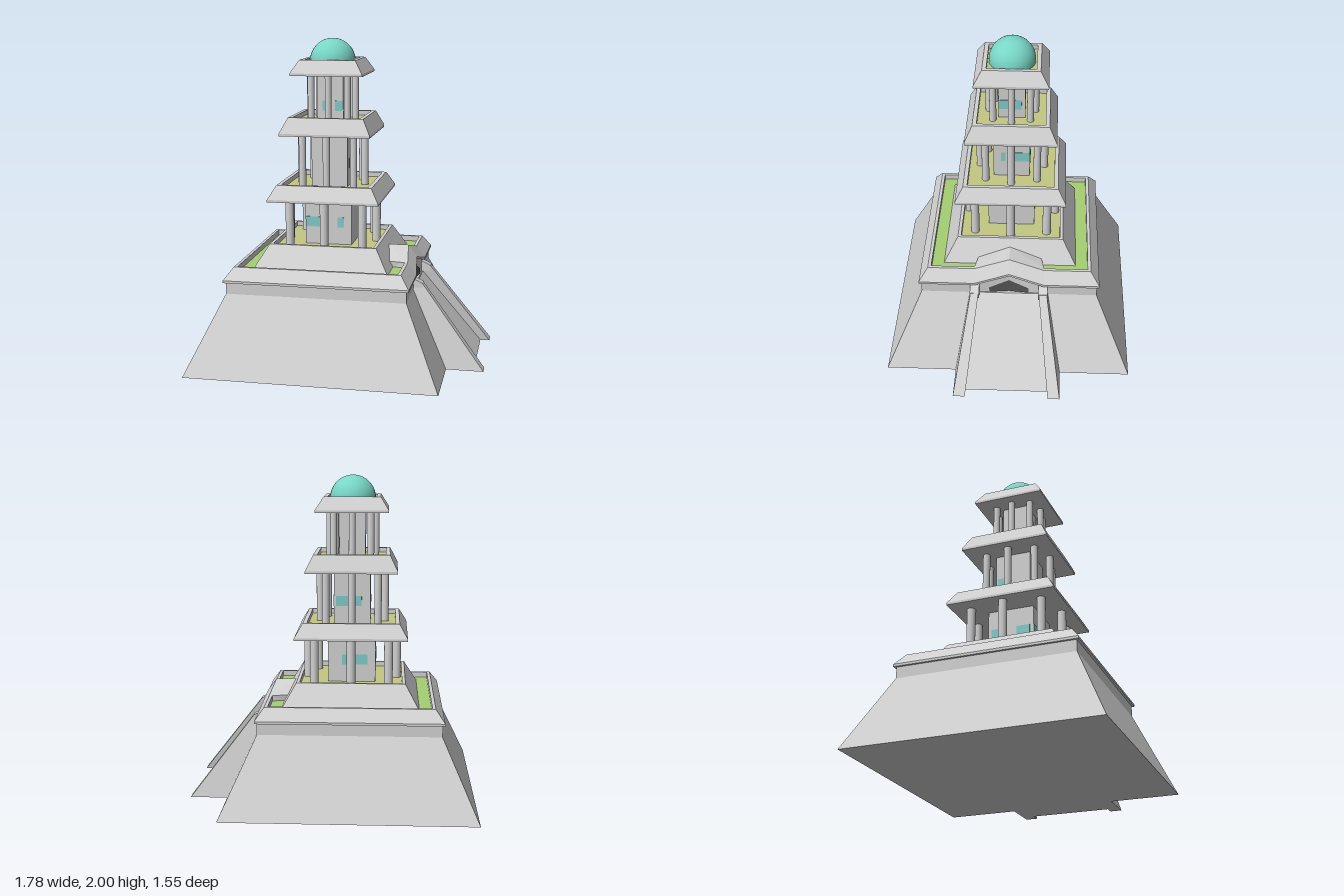
import * as THREE from 'three';
import { ConvexGeometry } from 'three/addons/geometries/ConvexGeometry.js';

const mat = (name, color, side = THREE.FrontSide) => {
  const m = new THREE.MeshStandardMaterial({ color, side });
  m.name = name;
  return m;
};

// Flat-faced geometry from a list of quads (each four corners, counterclockwise)
function quads(list) {
  const pos = [];
  for (const [a, b, c, d] of list) pos.push(...a, ...b, ...c, ...a, ...c, ...d);
  const g = new THREE.BufferGeometry();
  g.setAttribute('position', new THREE.Float32BufferAttribute(pos, 3));
  g.computeVertexNormals();
  return g;
}

// Skin between successive closed rings of points
function loft(rings) {
  const list = [];
  for (let i = 0; i < rings.length - 1; i++) {
    const lo = rings[i], hi = rings[i + 1], n = lo.length;
    for (let j = 0; j < n; j++) {
      const k = (j + 1) % n;
      list.push([lo[j], lo[k], hi[k], hi[j]]);
    }
  }
  return quads(list);
}

const square = ([h, y]) => [[h, y, h], [h, y, -h], [-h, y, -h], [-h, y, h]];

// Square ring whose +x side rises to a gable over the doorway
const GATE = 0.22, PINCH = 0.025, LIFT = 0.06;
const gateSquare = ([h, y, lift = LIFT]) => [
  [h, y, h], [h, y, GATE], [h - PINCH, y + lift, 0], [h, y, -GATE],
  [h, y, -h], [-h, y, -h], [-h, y, h],
];

export function createModel() {
  const stone = mat('stone', 0xd2d2d2);
  const stoneSheet = mat('stone sheet', 0xd2d2d2, THREE.DoubleSide);
  const grass = mat('garden green', 0xa6cf74);
  const terrace = mat('terrace olive', 0xc3c984);
  const glass = mat('window teal', 0x82cbc9);
  const domeTeal = mat('dome teal', 0x78d6c6);
  const dark = mat('doorway dark', 0x565656, THREE.DoubleSide);

  const model = new THREE.Group();
  const tower = new THREE.Group();
  tower.name = 'tower';
  tower.position.x = -0.12;
  model.add(tower);

  const add = (name, geo, material, parent = tower) => {
    const m = new THREE.Mesh(geo, material);
    m.name = name;
    parent.add(m);
    return m;
  };
  const floor = (name, half, y, material) =>
    add(name, new THREE.PlaneGeometry(half * 2, half * 2).rotateX(-Math.PI / 2).translate(0, y, 0), material);

  // Sloping base
  add('base', loft([[0, 0], [0.775, 0], [0.555, 0.475], [0, 0.475]].map(square)), stone);

  // Wall band, ledge and parapet, gabled on the entrance side
  add('parapet', loft([
    [0.555, 0.475, 0], [0.555, 0.545], [0.57, 0.545], [0.57, 0.56],
    [0.515, 0.635], [0.495, 0.635], [0.495, 0.60, 0],
  ].map(gateSquare)), stone);
  floor('garden', 0.495, 0.60, grass);

  // Gable roof running back from the parapet to the terrace block
  const gable = [];
  for (const s of [1, -1]) {
    const front = [0.495, 0.635, s * GATE], back = [0.395, 0.635, s * 0.2];
    gable.push([front, [0.47, 0.695, 0], [0.36, 0.695, 0], back]);
    gable.push([front, back, [0.415, 0.60, s * 0.2], [0.495, 0.60, s * GATE]]);
  }
  add('gateRoof', quads(gable), stoneSheet);

  // Dark doorway, set just proud of the angled wall
  const wallX = (z) => 0.555 - PINCH * (1 - Math.abs(z) / GATE) + 0.005;
  add('doorway', quads([1, -1].map((s) => [
    [wallX(0.125), 0.476, s * 0.125], [wallX(0), 0.476, 0],
    [wallX(0), 0.565, 0], [wallX(0.125), 0.512, s * 0.125],
  ])), dark);

  // Ramp with a splayed wall and post on each side
  const hull = (pts) => new ConvexGeometry(pts.map((p) => new THREE.Vector3(...p)));
  const both = (x, y, z) => [[x, y, z], [x, y, -z]];
  add('ramp', hull([
    ...both(0.945, 0, 0.28), ...both(0.60, 0, 0.28), ...both(0.56, 0.475, 0.2), ...both(0.55, 0.40, 0.2),
  ]), stone);
  for (const s of [1, -1]) {
    const edge = (x, y) => [0.19 + 0.07 * (1 - y / 0.515), 0.24 + 0.095 * (1 - y / 0.515)].map((z) => [x, y, s * z]);
    add('rampWall', hull([...edge(1.005, 0), ...edge(0.65, 0), ...edge(0.61, 0.515), ...edge(0.55, 0.515), ...edge(0.55, 0.4)]), stone);
    add('rampPost', hull([0.187, 0.245].flatMap((z) => [
      [0.55, 0.475, s * z], [0.612, 0.475, s * z], [0.612, 0.515, s * z], [0.55, 0.545, s * z],
    ])), stone);
  }

  // Terrace block under the first storey
  add('terraceBlock', loft([[0.42, 0.60], [0.335, 0.745], [0.315, 0.745], [0.315, 0.715]].map(square)), stone);
  floor('terraceFloor', 0.315, 0.715, terrace);

  // Storeys; windows are [side, from, to], sides run front, +x, back, -x
  const storeys = [
    { y: 0.715, core: 0.148, mid: 0.282, corner: 0.23, r: 0.027, roof: [0.347, 1.01, 0.297, 1.11], winY: 0.857,
      windows: [[0, -0.147, -0.02], [0, 0.057, 0.1], [2, -0.06, 0.1], [3, -0.125, -0.04], [3, 0.04, 0.125]] },
    { y: 1.08, core: 0.114, mid: 0.206, corner: 0.162, r: 0.023, roof: [0.283, 1.413, 0.235, 1.524], winY: 1.222,
      windows: [[1, -0.066, -0.04], [1, 0, 0.113], [2, -0.1, 0.06], [3, -0.1, -0.02]] },
    { y: 1.494, core: 0.082, mid: 0.145, corner: 0.115, r: 0.021, roof: [0.225, 1.778, 0.175, 1.873], winY: 1.585,
      windows: [[0, -0.05, -0.025], [0, 0.03, 0.078], [1, -0.08, -0.02], [1, 0.02, 0.06]] },
  ];
  storeys.forEach((s) => {
    const storey = new THREE.Group();
    storey.name = 'storey';
    tower.add(storey);
    const [eave, eaveY, top, topY] = s.roof;
    const height = eaveY - s.y, midY = s.y + height / 2;

    add('core', new THREE.BoxGeometry(s.core * 2, height, s.core * 2).translate(0, midY, 0), stone, storey);

    // Four corner columns and four set forward at mid-side
    const colGeo = new THREE.CylinderGeometry(s.r, s.r, height, 16, 1, true);
    for (let i = 0; i < 8; i++) {
      const a = (i * Math.PI) / 4;
      const d = i % 2 ? s.corner * Math.SQRT2 : s.mid;
      add('column', colGeo, stone, storey).position.set(Math.cos(a) * d, midY, Math.sin(a) * d);
    }

    for (const [side, from, to] of s.windows) {
      const pane = new THREE.BoxGeometry(to - from, 0.063, 0.006);
      pane.translate((from + to) / 2, s.winY, s.core + 0.001).rotateY((side * Math.PI) / 2);
      add('window', pane, glass, storey);
    }

    // Hipped roof with a sunken planted top
    const rim = top - 0.025;
    add('roof', loft([
      [0, eaveY], [eave, eaveY], [eave, eaveY + 0.015], [top, topY], [rim, topY], [rim, topY - 0.03],
    ].map(square)), stone, storey);
    floor('roofFloor', rim, topY - 0.03, terrace);
  });

  // Crowning dome
  add('dome', new THREE.SphereGeometry(0.143, 32, 20).translate(0, 1.857, 0), domeTeal);
  // Keep the lower half of the sphere from showing beneath the top roof
  tower.getObjectByName('dome').geometry = new THREE.SphereGeometry(0.143, 32, 14, 0, Math.PI * 2, 0, Math.PI * 0.55).translate(0, 1.857, 0);

  return model;
}
